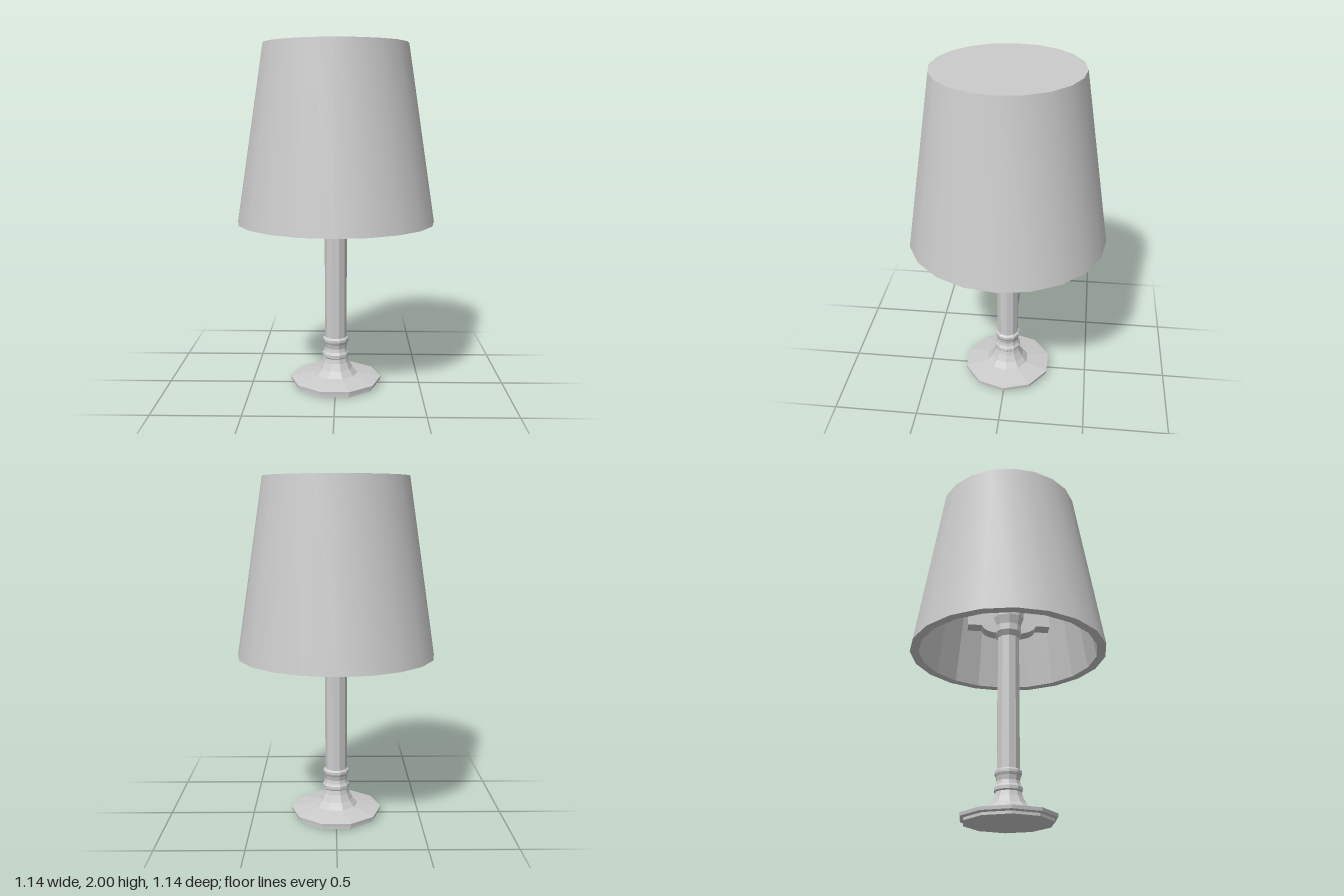
import * as THREE from 'three';
import { toCreasedNormals } from 'three/addons/utils/BufferGeometryUtils.js';

const smooth = new THREE.MeshStandardMaterial({ color: 0xcccccc });
const faceted = new THREE.MeshStandardMaterial({ color: 0xcccccc, flatShading: true });

// Turned part from [radius, height] pairs, listed bottom to top on the outside
function turned(name, profile, sides, material) {
  const points = profile.map(([r, y]) => new THREE.Vector2(r, y));
  let geometry = new THREE.LatheGeometry(points, sides);
  if (material === smooth) geometry = toCreasedNormals(geometry, 0.6);
  const mesh = new THREE.Mesh(geometry, material);
  mesh.name = name;
  return mesh;
}

export function createModel() {
  const lamp = new THREE.Group();
  lamp.name = 'tableLamp';

  // Ten-sided stand, turned so that corners lie on the x axis
  const stand = new THREE.Group();
  stand.name = 'stand';
  stand.rotation.y = Math.PI / 2;
  lamp.add(stand);

  stand.add(turned('base', [
    [0, 0], [0.25, 0], [0.25, 0.015], [0.268, 0.022], [0.27, 0.04],
    [0.13, 0.065], [0.1, 0.1], [0.08, 0.14], [0.073, 0.165],
  ], 10, faceted));
  stand.add(turned('collar', [
    [0.073, 0.165], [0.08, 0.172], [0.08, 0.19], [0.07, 0.205], [0.065, 0.225],
    [0.07, 0.25], [0.077, 0.265], [0.077, 0.28], [0.065, 0.29],
  ], 10, faceted));
  stand.add(turned('column', [[0.065, 0.29], [0.065, 1.08]], 10, faceted));
  stand.add(turned('columnHead', [
    [0.065, 1.08], [0.085, 1.11], [0.085, 1.15], [0.1, 1.2], [0.1, 1.25], [0, 1.25],
  ], 10, faceted));

  // Two short curved arms under the shade, front and back
  for (const side of [1, -1]) {
    const shape = new THREE.Shape();
    shape.moveTo(0.04, 1.1);
    shape.quadraticCurveTo(0.14, 1.1, 0.16, 1.15);
    shape.lineTo(0.24, 1.15);
    shape.lineTo(0.24, 1.23);
    shape.lineTo(0.04, 1.23);
    const geometry = new THREE.ExtrudeGeometry(shape, { depth: 0.08, bevelEnabled: false, curveSegments: 4 });
    geometry.translate(0, 0, -0.04);
    const arm = new THREE.Mesh(geometry, faceted);
    arm.name = side > 0 ? 'frontArm' : 'backArm';
    arm.rotation.y = -side * Math.PI / 2;
    lamp.add(arm);
  }

  // Thick tapered shade with a closed top
  const shade = new THREE.Group();
  shade.name = 'shade';
  shade.add(turned('shadeOutside', [[0.52, 0.985], [0.572, 0.985], [0.414, 2], [0, 2]], 20, smooth));
  shade.add(turned('shadeInside', [[0, 1.95], [0.37, 1.95], [0.52, 0.985]], 20, faceted));
  lamp.add(shade);

  return lamp;
}
